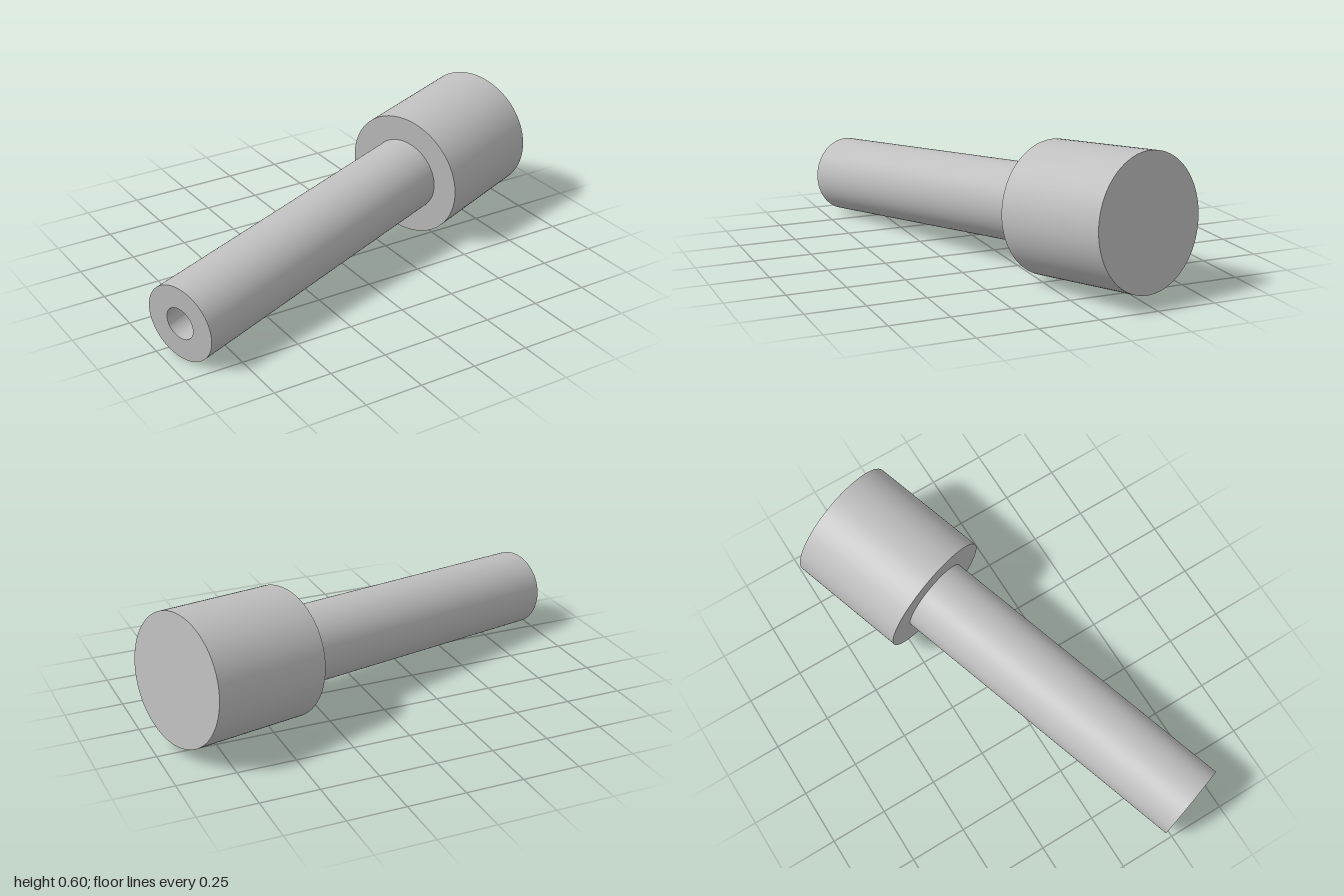
import * as THREE from 'three';
import { toCreasedNormals } from 'three/addons/utils/BufferGeometryUtils.js';

const SEGMENTS = 96;

// Turned part with crisp edges, from [radius, height] pairs along +y
function turned(name, profile, material) {
  const points = profile.map(([r, y]) => new THREE.Vector2(r, y));
  const geometry = toCreasedNormals(new THREE.LatheGeometry(points, SEGMENTS), Math.PI / 6);
  const mesh = new THREE.Mesh(geometry, material);
  mesh.name = name;
  return mesh;
}

export function createModel() {
  const steel = new THREE.MeshStandardMaterial({ color: 0xbfbfbf });
  steel.name = 'steel grey';

  // Centres of the two end faces
  const start = new THREE.Vector3(-0.945, 0.1675, 0.364);
  const end = new THREE.Vector3(0.907, 0.324, -0.258);
  const axis = end.clone().sub(start);
  const length = axis.length();

  const shaftRadius = 0.168, headRadius = 0.281, holeRadius = 0.07;
  const headLength = 0.536, holeDepth = 0.5;
  const shoulder = length - headLength;

  const pin = new THREE.Group();
  pin.name = 'pin';

  // Shaft with a blind hole in its free end
  pin.add(turned('shaft', [
    [0, holeDepth], [holeRadius, holeDepth], [holeRadius, 0],
    [shaftRadius, 0], [shaftRadius, shoulder],
  ], steel));

  // Wide cylindrical head
  pin.add(turned('head', [
    [shaftRadius, shoulder], [headRadius, shoulder],
    [headRadius, length], [0, length],
  ], steel));

  // Tilt the pin onto its resting axis
  pin.quaternion.setFromUnitVectors(new THREE.Vector3(0, 1, 0), axis.normalize());
  pin.position.copy(start);

  const model = new THREE.Group();
  model.name = 'headedPin';
  model.add(pin);
  return model;
}
